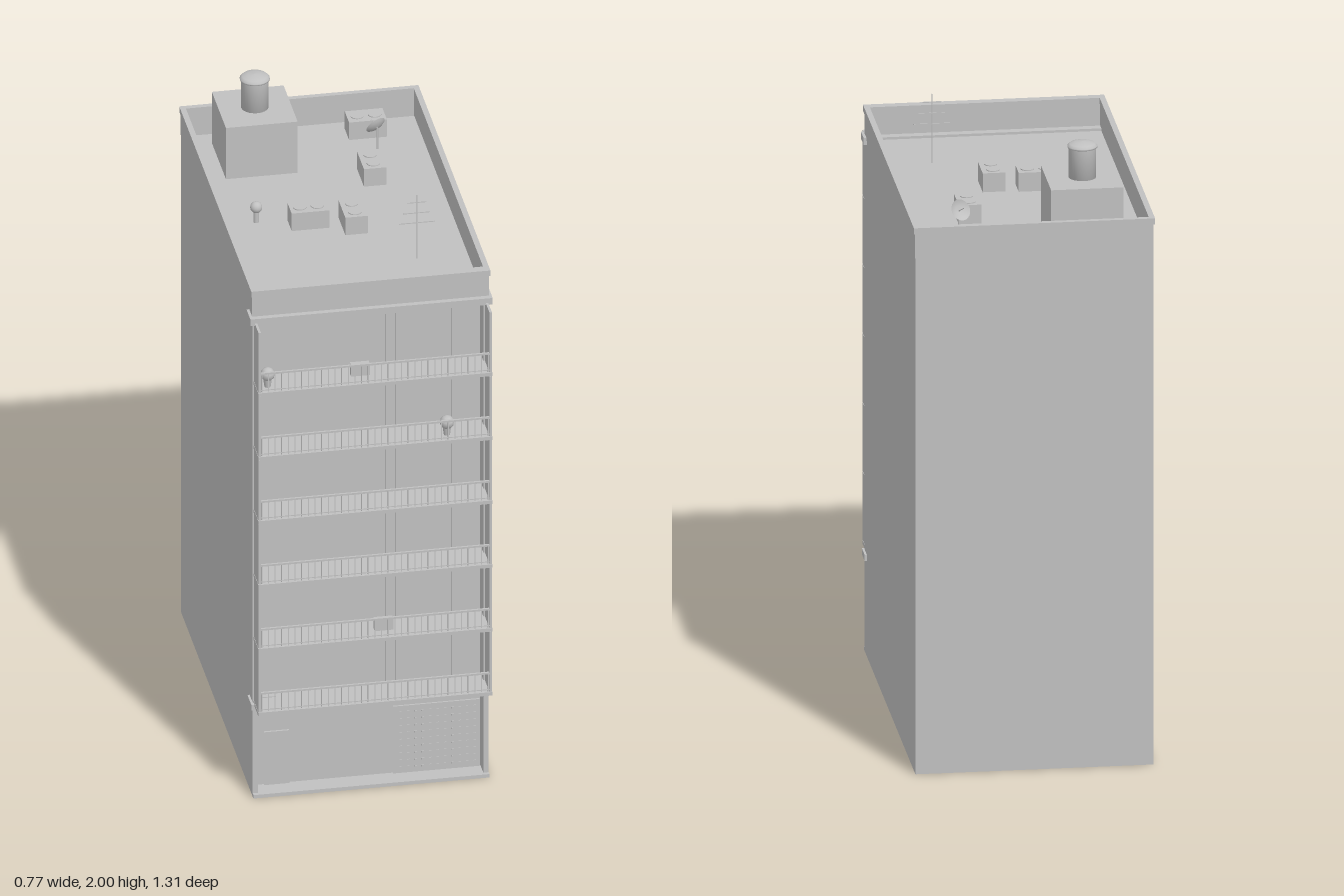
import * as THREE from 'three';
import { mergeGeometries } from 'three/addons/utils/BufferGeometryUtils.js';

export function createModel() {
  const root = new THREE.Group();
  root.name = 'apartmentBuilding';
  const concrete = new THREE.MeshStandardMaterial({ color: 0xc0c0c0, side: THREE.DoubleSide });
  concrete.name = 'concrete grey';

  // Box given by its minimum and maximum limits on each axis
  const boxGeo = (x0, x1, y0, y1, z0, z1) =>
    new THREE.BoxGeometry(x1 - x0, y1 - y0, z1 - z0)
      .translate((x0 + x1) / 2, (y0 + y1) / 2, (z0 + z1) / 2);
  const add = (name, geo, parent = root) => {
    const mesh = new THREE.Mesh(geo, concrete);
    mesh.name = name;
    parent.add(mesh);
    return mesh;
  };
  const box = (name, ...limits) => add(name, boxGeo(...limits));
  const cyl = (r0, r1, h, x, y, z, n = 20) =>
    new THREE.CylinderGeometry(r0, r1, h, n).translate(x, y + h / 2, z);

  // Main block, pilasters and base
  box('mainBlock', -0.375, 0.375, 0, 1.7, -0.65, 0.52);
  box('baseSlab', -0.375, 0.375, 0, 0.012, 0.52, 0.585);
  for (const s of [-1, 1]) {
    const a = s * 0.358, b = s * 0.375;
    box('pilaster', Math.min(a, b), Math.max(a, b), 0, 1.7, 0.52, 0.572);
  }

  // Ledges above the ground floor and under the parapet
  box('lowerLedge', -0.382, 0.382, 0.315, 0.335, 0.52, 0.588);
  box('upperLedge', -0.385, 0.385, 1.685, 1.708, 0.52, 0.588);

  // Parapet ring with a projecting cap
  const ring = (name, x, z0, z1, t, tf, y0, y1) => add(name, mergeGeometries([
    boxGeo(-x, -x + t, y0, y1, z0, z1),
    boxGeo(x - t, x, y0, y1, z0, z1),
    boxGeo(-x + t, x - t, y0, y1, z0, z0 + t),
    boxGeo(-x + t, x - t, y0, y1, z1 - tf, z1),
  ]));
  ring('parapet', 0.376, -0.65, 0.57, 0.012, 0.022, 1.7, 1.78);
  ring('parapetCap', 0.38, -0.653, 0.576, 0.018, 0.03, 1.78, 1.8);

  // Ground floor door and garage grille
  box('entranceDoor', -0.33, -0.25, 0.012, 0.2, 0.52, 0.527);
  box('garagePanel', 0.08, 0.355, 0.012, 0.25, 0.52, 0.526);
  const studs = [];
  for (let r = 0; r < 9; r++)
    for (let c = 0; c < 11; c++) {
      const x = 0.1 + c * 0.0235, y = 0.03 + r * 0.0245;
      studs.push(boxGeo(x, x + 0.008, y, y + 0.005, 0.526, 0.529));
    }
  add('garageGrille', mergeGeometries(studs));

  // Six balconies: slab, side screens, railing and window frames
  const pitch = 0.2275, base = 0.335, rail = 0.072;
  for (let i = 0; i < 6; i++) {
    const y = base + i * pitch;
    const top = Math.min(y + pitch, 1.7);
    const floor = new THREE.Group();
    floor.name = 'balcony' + (i + 1);
    root.add(floor);
    add('slab', boxGeo(-0.372, 0.372, y - 0.006, y + 0.006, 0.52, 0.653), floor);
    add('sideScreens', mergeGeometries([-1, 1].map(s =>
      boxGeo(s * 0.367 - 0.004, s * 0.367 + 0.004, y + 0.006, top - 0.008, 0.57, 0.65))), floor);
    const bars = [
      boxGeo(-0.363, 0.363, y + rail - 0.004, y + rail + 0.002, 0.642, 0.649),
      boxGeo(-0.363, 0.363, y + 0.011, y + 0.014, 0.644, 0.647),
    ];
    for (let k = 0; k <= 34; k++) {
      const x = -0.36 + k * 0.72 / 34;
      bars.push(boxGeo(x - 0.0015, x + 0.0015, y + 0.006, y + rail, 0.644, 0.647));
    }
    add('railing', mergeGeometries(bars), floor);
    add('windowFrames', mergeGeometries([-0.22, 0.06, 0.09, 0.27].map(x =>
      boxGeo(x - 0.003, x + 0.003, y + 0.006, top - 0.02, 0.52, 0.525))), floor);
  }

  // Items standing on balconies
  const plant = (x, y, z) => {
    add('plantPot', cyl(0.014, 0.01, 0.028, x, y, z, 12));
    add('plantLeaves', new THREE.IcosahedronGeometry(0.023, 1).translate(x, y + 0.044, z));
  };
  plant(-0.335, base + 5 * pitch + 0.006, 0.612);
  plant(0.235, base + 4 * pitch + 0.006, 0.612);
  box('balconyCooler', -0.07, -0.01, 1.488, 1.527, 0.592, 0.615);
  box('balconyCooler', 0.005, 0.065, 0.574, 0.612, 0.592, 0.615);
  box('clothesBar', -0.36, -0.31, 0.376, 0.379, 0.62, 0.623);
  box('clothesBar', 0.31, 0.36, 1.3, 1.303, 0.62, 0.623);

  // Stair house with water tank
  box('stairHouse', -0.29, -0.062, 1.7, 1.882, -0.58, -0.34);
  const tank = [[0, 1.88], [0.043, 1.88], [0.043, 1.98], [0.047, 1.981], [0.047, 1.986],
    [0.04, 1.993], [0.022, 1.998], [0, 2]].map(p => new THREE.Vector2(...p));
  add('waterTank', new THREE.LatheGeometry(tank, 28).translate(-0.176, 0, -0.46));

  // Rooftop air units with two fans on the top
  const unit = (x0, x1, z0, z1) => {
    box('airUnit', x0, x1, 1.7, 1.762, z0, z1);
    const cx = (x0 + x1) / 2, cz = (z0 + z1) / 2, wide = x1 - x0 > z1 - z0;
    for (const s of [-0.028, 0.028])
      add('fan', cyl(0.021, 0.021, 0.003, cx + (wide ? s : 0), 1.762, cz + (wide ? 0 : s)));
  };
  unit(0.135, 0.255, -0.595, -0.52);
  unit(0.125, 0.197, -0.335, -0.213);
  unit(-0.15, -0.03, -0.042, 0.03);
  unit(0.01, 0.082, -0.032, 0.087);

  // Roof vent
  add('ventPipe', cyl(0.009, 0.009, 0.045, -0.248, 1.7, -0.05, 12));
  add('ventCap', new THREE.SphereGeometry(0.019, 16, 10).translate(-0.248, 1.752, -0.05));

  // Satellite dish on a post, facing the back
  add('dishPost', cyl(0.003, 0.003, 0.08, 0.21, 1.7, -0.44, 8));
  const dish = new THREE.Group();
  dish.name = 'satelliteDish';
  const bowl = [[0, 0], [0.015, 0.002], [0.026, 0.006], [0.034, 0.011]].map(p => new THREE.Vector2(...p));
  add('dishBowl', new THREE.LatheGeometry(bowl, 24), dish);
  add('dishFeed', cyl(0.0015, 0.0015, 0.033, 0, 0, 0, 6), dish);
  dish.position.set(0.21, 1.78, -0.44);
  dish.quaternion.setFromUnitVectors(new THREE.Vector3(0, 1, 0),
    new THREE.Vector3(-0.4, 0.5, -0.78).normalize());
  root.add(dish);

  // Antenna mast with cross bars
  add('antennaMast', cyl(0.0015, 0.0015, 0.227, 0.202, 1.7, 0.277, 6));
  for (const [y, w] of [[1.9, 0.03], [1.863, 0.042], [1.828, 0.057]])
    box('antennaBar', 0.202 - w, 0.202 + w, y - 0.0015, y + 0.0015, 0.2755, 0.2785);

  return root;
}
